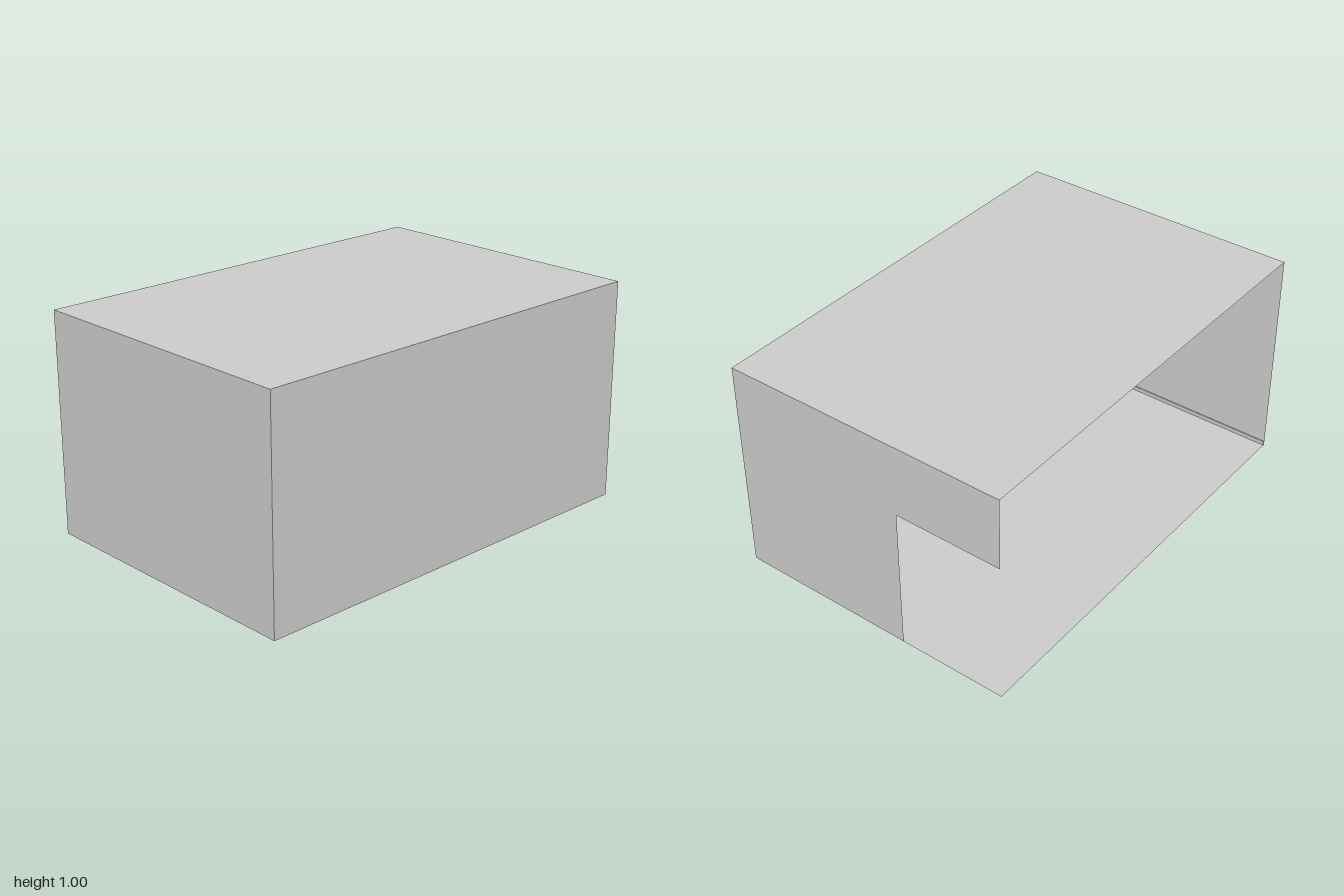
import * as THREE from 'three';

const W = 2, H = 1, D = 1.333;
const X = W / 2, Z = D / 2;
const DOOR_Z = -0.166, DOOR_H = 0.67; // doorway edge and height
const BASE_H = 0.02, BASE_T = 0.005;  // skirting section

export function createModel() {
  const room = new THREE.Group();
  room.name = 'room';
  const sheet = new THREE.MeshStandardMaterial({ color: 0xcccccc, side: THREE.DoubleSide });
  const solid = new THREE.MeshStandardMaterial({ color: 0xcccccc });

  const add = (name, geometry, x, y, z, material = sheet) => {
    const mesh = new THREE.Mesh(geometry, material);
    mesh.name = name;
    mesh.position.set(x, y, z);
    room.add(mesh);
  };

  // Floor and ceiling
  add('floor', new THREE.PlaneGeometry(W, D).rotateX(-Math.PI / 2), 0, 0, 0);
  add('ceiling', new THREE.PlaneGeometry(W, D).rotateX(-Math.PI / 2), 0, H, 0);

  // Solid walls; the back is open
  add('frontWall', new THREE.PlaneGeometry(W, H), 0, H / 2, Z);
  add('plainSideWall', new THREE.PlaneGeometry(D, H).rotateY(-Math.PI / 2), -X, H / 2, 0);

  // Side wall with a doorway cut from its back lower corner (shape x is -z)
  const profile = new THREE.Shape([
    [-Z, 0], [-DOOR_Z, 0], [-DOOR_Z, DOOR_H], [Z, DOOR_H], [Z, H], [-Z, H],
  ].map(([a, b]) => new THREE.Vector2(a, b)));
  add('doorwayWall', new THREE.ShapeGeometry(profile).rotateY(Math.PI / 2), X, 0, 0);

  // Skirting along the inside of the three walls
  const inset = BASE_T / 2, y = BASE_H / 2;
  add('frontSkirting', new THREE.BoxGeometry(W, BASE_H, BASE_T), 0, y, Z - inset, solid);
  add('plainSideSkirting', new THREE.BoxGeometry(BASE_T, BASE_H, D), -X + inset, y, 0, solid);
  const end = -0.01; // stops short of the doorway
  add('doorwaySkirting', new THREE.BoxGeometry(BASE_T, BASE_H, Z - end), X - inset, y, (Z + end) / 2, solid);

  return room;
}
